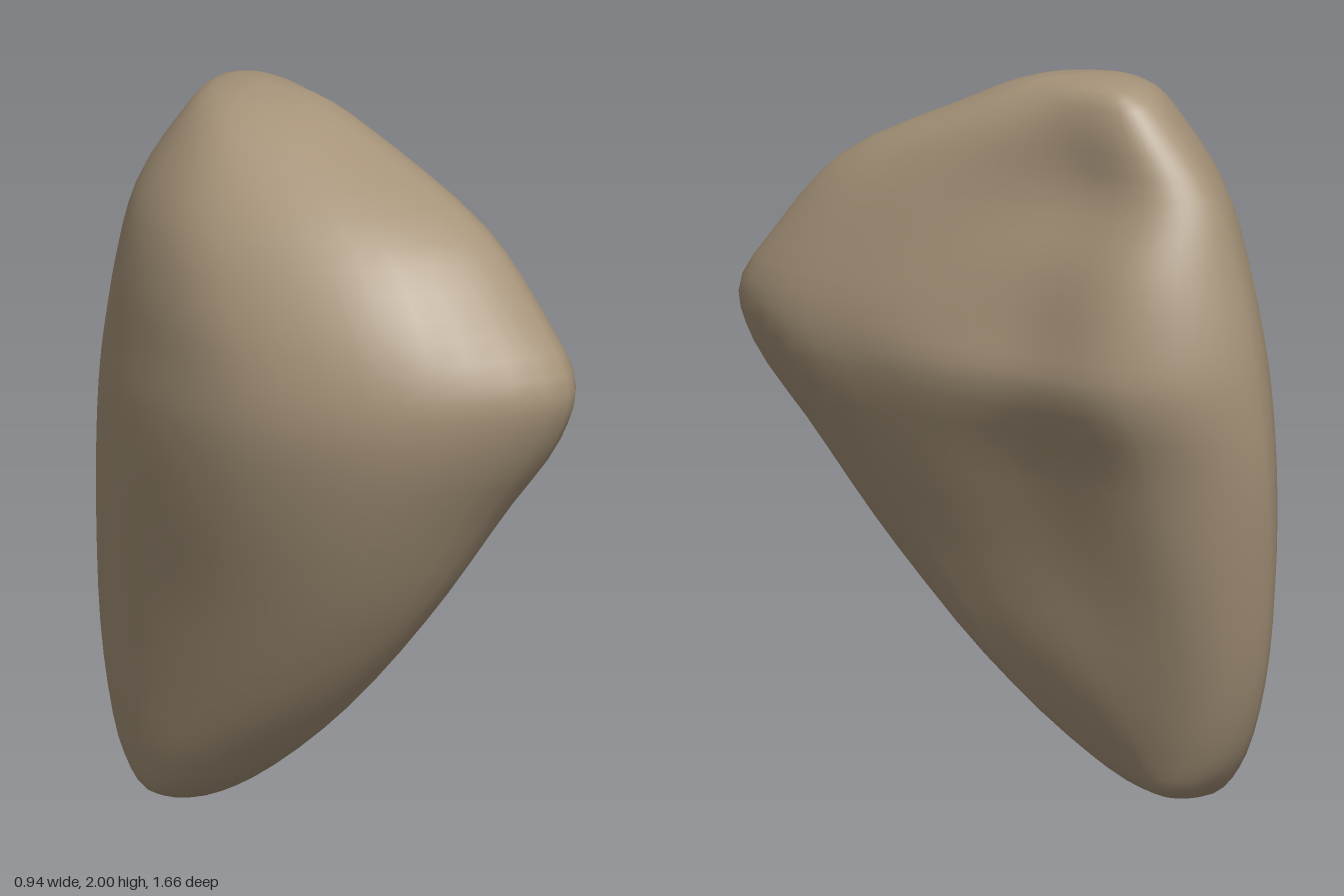
import * as THREE from 'three';

// Horizontal slices: y, then x,z of the front, left flank, back, right ridge, hollow and shoulder
const SLICES = [
  [0.03, -0.04, -0.33, -0.11, -0.45, -0.02, -0.57, 0.075, -0.50, 0.07, -0.43, 0.03, -0.37],
  [0.13, -0.07, -0.13, -0.17, -0.36, 0.00, -0.66, 0.12, -0.55, 0.11, -0.40, 0.05, -0.24],
  [0.35, -0.09, 0.16, -0.245, -0.20, 0.04, -0.745, 0.19, -0.58, 0.16, -0.30, 0.08, -0.03],
  [0.65, -0.06, 0.435, -0.335, -0.05, 0.09, -0.80, 0.28, -0.58, 0.205, -0.20, 0.135, 0.14],
  [0.95, 0.00, 0.64, -0.425, 0.03, 0.15, -0.825, 0.37, -0.54, 0.29, -0.13, 0.235, 0.24],
  [1.17, 0.05, 0.79, -0.47, 0.08, 0.17, -0.815, 0.46, -0.48, 0.37, -0.11, 0.31, 0.27],
  [1.32, 0.06, 0.83, -0.47, 0.08, 0.18, -0.795, 0.45, -0.48, 0.345, -0.14, 0.31, 0.33],
  [1.50, 0.07, 0.71, -0.44, 0.00, 0.18, -0.75, 0.405, -0.50, 0.31, -0.18, 0.285, 0.29],
  [1.70, 0.06, 0.53, -0.36, -0.10, 0.185, -0.68, 0.315, -0.53, 0.26, -0.27, 0.26, 0.13],
  [1.88, 0.07, 0.16, -0.21, -0.18, 0.18, -0.55, 0.285, -0.45, 0.26, -0.25, 0.23, -0.05],
  [1.97, 0.08, -0.06, -0.06, -0.25, 0.17, -0.46, 0.25, -0.40, 0.235, -0.28, 0.18, -0.15],
];
const BOTTOM = new THREE.Vector3(-0.03, 0, -0.45);
const TOP = new THREE.Vector3(0.12, 2, -0.28);
const AROUND = 48, UP = 40;

// Rounded point between two neighbours, pushed towards the corner (x, z)
function rounded(a, b, x, z, amount) {
  return a.clone().lerp(b, 0.5).lerp(new THREE.Vector3(x, a.y, z), amount);
}

function slicePoints([y, ...xz]) {
  const [front, left, back, right, hollow, shoulder] =
    [0, 2, 4, 6, 8, 10].map((i) => new THREE.Vector3(xz[i], y, xz[i + 1]));
  return [
    front, rounded(front, left, left.x, Math.min(front.z, 0.72), 0.41),
    left, rounded(left, back, left.x, back.z, 0.3),
    back, rounded(back, right, right.x, back.z, 0.37),
    right, hollow, shoulder,
    rounded(shoulder, front, shoulder.x, front.z, 0.36),
  ];
}

function stoneGeometry() {
  // Rails run from the bottom to the top through matching slice points
  const slices = SLICES.map(slicePoints);
  const rails = slices[0].map((_, i) =>
    new THREE.CatmullRomCurve3([BOTTOM, ...slices.map((s) => s[i]), TOP]));

  const positions = [...BOTTOM.toArray()];
  for (let j = 1; j < UP; j++) {
    const ring = new THREE.CatmullRomCurve3(rails.map((r) => r.getPoint(j / UP)), true);
    for (let i = 0; i < AROUND; i++) positions.push(...ring.getPoint(i / AROUND).toArray());
  }
  positions.push(...TOP.toArray());

  const index = [];
  const last = positions.length / 3 - 1;
  const at = (j, i) => 1 + j * AROUND + (i % AROUND);
  for (let i = 0; i < AROUND; i++) {
    index.push(0, at(0, i), at(0, i + 1));
    for (let j = 0; j < UP - 2; j++) {
      const a = at(j, i), b = at(j, i + 1), c = at(j + 1, i), d = at(j + 1, i + 1);
      index.push(a, c, b, b, c, d);
    }
    index.push(at(UP - 2, i), last, at(UP - 2, i + 1));
  }

  const geometry = new THREE.BufferGeometry();
  geometry.setAttribute('position', new THREE.Float32BufferAttribute(positions, 3));
  geometry.setIndex(index);
  geometry.computeVertexNormals();
  return geometry;
}

export function createModel() {
  const stone = new THREE.MeshStandardMaterial({ color: 0xa69379 });
  stone.name = 'stone';

  const boulder = new THREE.Mesh(stoneGeometry(), stone);
  boulder.name = 'boulder';

  const model = new THREE.Group();
  model.name = 'rock';
  model.add(boulder);
  return model;
}
